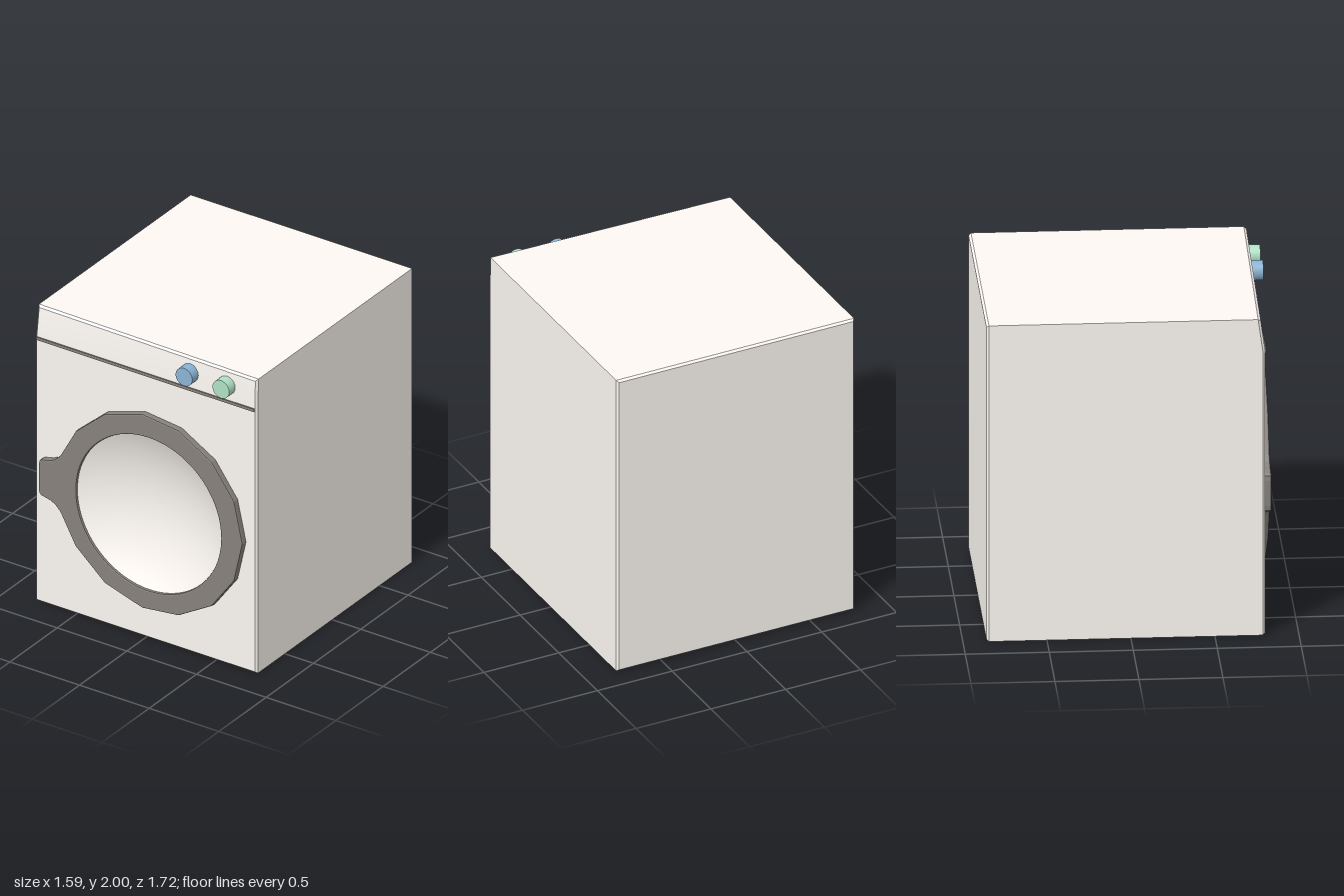
import * as THREE from 'three';

const mat = (color, side = THREE.FrontSide) => new THREE.MeshStandardMaterial({ color, side });
const white = mat(0xfcf7f2);
const dark = mat(0x86817b);

const W = 0.795, BACK = -0.86, FRONT = 0.8, BEVEL = 0.012, THICK = 0.015, PANEL_Y = 1.8;
const HOLE = { x: 0.045, y: 0.87, r: 0.525 };

function add(parent, name, geometry, material) {
  const mesh = new THREE.Mesh(geometry, material);
  mesh.name = name;
  parent.add(mesh);
  return mesh;
}

const polygon = (pts) => new THREE.Shape(pts.map(([x, y]) => new THREE.Vector2(x, y)));
const circle = (r) => new THREE.Path().absarc(HOLE.x, HOLE.y, r, 0, Math.PI * 2, true);

// Tilts the front above PANEL_Y backwards, less towards the left side
function tilt(geometry) {
  const p = geometry.attributes.position;
  for (let i = 0; i < p.count; i++) {
    const slope = THREE.MathUtils.mapLinear(p.getX(i), -W, W, 0.14, 0.03);
    if (p.getZ(i) > 0) p.setZ(i, p.getZ(i) - Math.max(0, p.getY(i) - PANEL_Y) * slope);
  }
  geometry.computeVertexNormals();
  return geometry;
}

// Bevelled cabinet, left open at the front
function cabinetGeometry() {
  const outline = polygon([[-W, 0], [W, 0], [W, PANEL_Y], [W, 2], [-W, 2], [-W, PANEL_Y]]);
  const solid = new THREE.ExtrudeGeometry(outline, {
    depth: FRONT - BACK - 2 * THICK, bevelThickness: THICK, bevelSize: BEVEL,
    bevelOffset: -BEVEL, bevelSegments: 1,
  }).translate(0, 0, BACK + THICK);
  const p = solid.attributes.position.array;
  const kept = [];
  for (let i = 0; i < p.length; i += 9) {
    const isFront = [2, 5, 8].every((k) => p[i + k] > FRONT - 0.001);
    if (!isFront) for (let k = 0; k < 9; k++) kept.push(p[i + k]);
  }
  const open = new THREE.BufferGeometry();
  open.setAttribute('position', new THREE.Float32BufferAttribute(kept, 3));
  return tilt(open);
}

// Door frame outline: faceted round with a flared handle on the right side
function doorFrameGeometry() {
  const cy = 0.878;
  const upper = [[0.72, 0], [0.66, 0.27], [0.5, 0.49], [0.26, 0.63], [0, 0.66], [-0.27, 0.575],
    [-0.48, 0.39], [-0.54, 0.28], [-0.59, 0.19], [-0.625, 0.155], [-0.66, 0.137],
    [-0.725, 0.122], [-0.74, 0.11], [-0.745, 0.08]];
  const lower = upper.slice(1).reverse().map(([x, y]) => [x, -y]);
  const shape = polygon([...upper, ...lower].map(([x, y]) => [x, cy + y]));
  shape.holes.push(circle(HOLE.r - 0.005));
  return new THREE.ExtrudeGeometry(shape, {
    depth: 0.03, curveSegments: 48, bevelThickness: 0.01, bevelSize: 0.008,
    bevelOffset: -0.008, bevelSegments: 2,
  }).translate(0, 0, FRONT);
}

// Shallow concave bowl inside the door
function bowlGeometry() {
  const depth = 0.13, r = HOLE.r;
  const R = (r * r + depth * depth) / (2 * depth);
  const end = Math.asin(r / R);
  const profile = [];
  for (let i = 0; i <= 16; i++) {
    const a = (end * i) / 16;
    profile.push(new THREE.Vector2(R * Math.sin(a), R * (1 - Math.cos(a)) - depth));
  }
  return new THREE.LatheGeometry(profile, 48).rotateX(Math.PI / 2);
}

export function createModel() {
  const model = new THREE.Group();
  model.name = 'washingMachine';

  // Cabinet, front with door opening, and sloped control panel
  add(model, 'cabinet', cabinetGeometry(), white);
  const x = W - BEVEL;
  const front = polygon([[-x, BEVEL], [x, BEVEL], [x, PANEL_Y], [-x, PANEL_Y]]);
  front.holes.push(circle(HOLE.r));
  add(model, 'frontPanel', new THREE.ShapeGeometry(front, 48).translate(0, 0, FRONT), white);
  const panel = polygon([[-x, PANEL_Y], [x, PANEL_Y], [x, 2 - BEVEL], [-x, 2 - BEVEL]]);
  add(model, 'controlPanel', tilt(new THREE.ShapeGeometry(panel).translate(0, 0, FRONT)), white);
  add(model, 'trimStrip', new THREE.BoxGeometry(1.565, 0.02, 0.03), dark)
    .position.set(-0.002, 1.793, 0.792);

  // Door
  const door = new THREE.Group();
  door.name = 'door';
  model.add(door);
  add(door, 'doorFrame', doorFrameGeometry(), dark);
  add(door, 'doorBowl', bowlGeometry(), mat(0xfcf7f2, THREE.DoubleSide))
    .position.set(HOLE.x, HOLE.y, FRONT + 0.025);

  // Control knobs
  for (const [name, kx, color] of [['blueKnob', 0.315, 0x8ab3d4], ['greenKnob', 0.58, 0xb0e0c4]]) {
    const knob = new THREE.CylinderGeometry(0.06, 0.06, 0.085, 32).rotateX(Math.PI / 2);
    add(model, name, knob, mat(color)).position.set(kx, 1.9, 0.8175);
  }
  return model;
}
